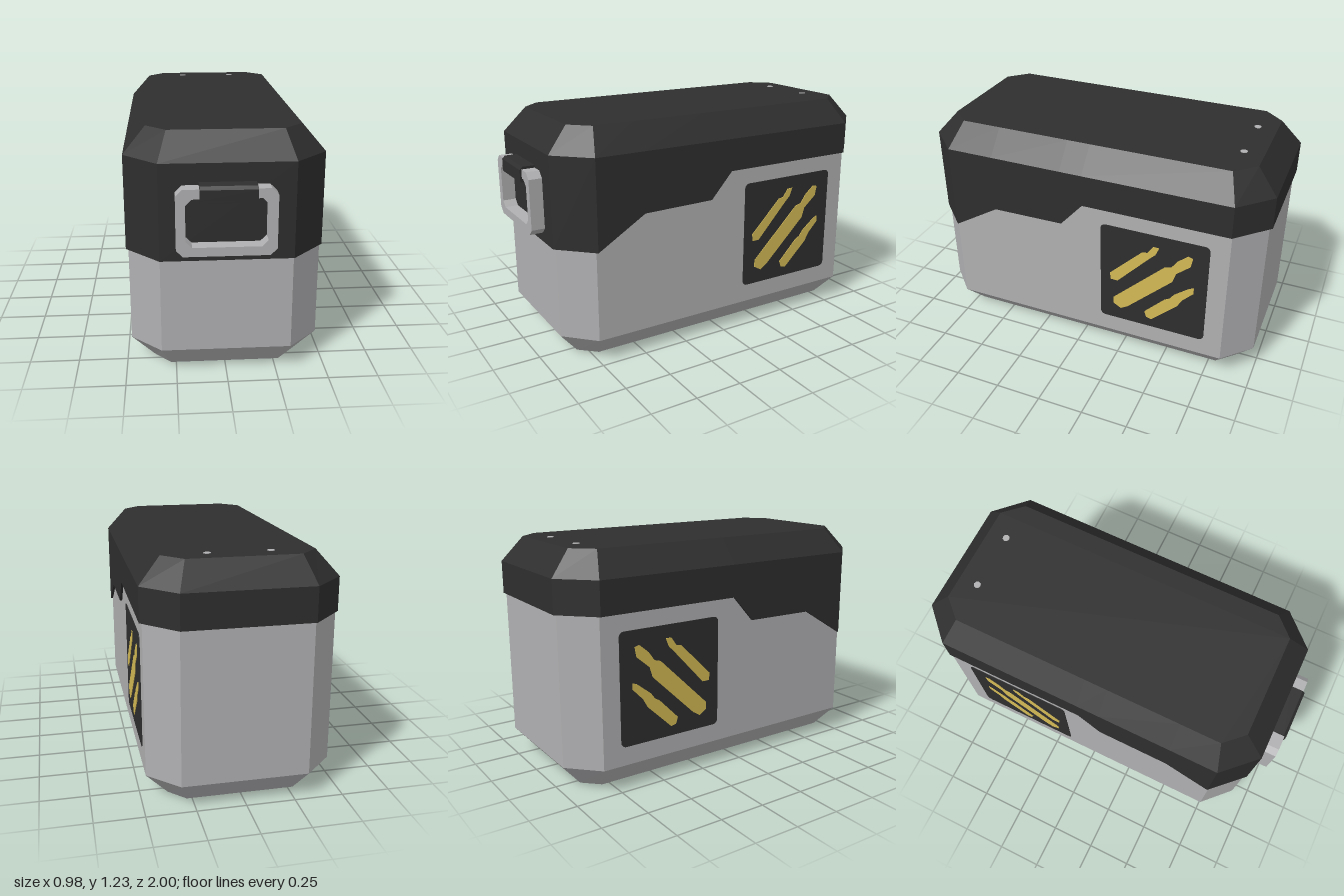
import * as THREE from 'three';

const mat = (name, color, side = THREE.FrontSide) => {
  const m = new THREE.MeshStandardMaterial({ color, side });
  m.name = name;
  return m;
};

// Chamfered eight-sided ring, mirrored in x. y is one height or one per half point.
function ring(w, cw, zFront, cFront, cBack, zBack, y, steps = []) {
  const half = [[cw, zFront], [w, cFront], ...steps.map(z => [w, z]), [w, cBack], [cw, zBack]]
    .map(([x, z], i) => [x, Array.isArray(y) ? y[i] : y, z]);
  return [...half, ...half.slice().reverse().map(([x, yy, z]) => [-x, yy, z])];
}

// Flat-faced skin through rings listed from bottom to top
function loft(rings, capBottom, capTop) {
  const pos = [];
  const tri = (a, b, c) => pos.push(...a, ...b, ...c);
  const n = rings[0].length;
  for (let r = 0; r < rings.length - 1; r++) {
    for (let i = 0; i < n; i++) {
      const j = (i + 1) % n, lo = rings[r], hi = rings[r + 1];
      tri(lo[i], lo[j], hi[j]);
      tri(lo[i], hi[j], hi[i]);
    }
  }
  const first = rings[0], last = rings[rings.length - 1];
  for (let i = 1; i < n - 1; i++) {
    if (capBottom) tri(first[0], first[i + 1], first[i]);
    if (capTop) tri(last[0], last[i], last[i + 1]);
  }
  const g = new THREE.BufferGeometry();
  g.setAttribute('position', new THREE.Float32BufferAttribute(pos, 3));
  g.computeVertexNormals();
  return g;
}

// Rectangle with cut corners
function cutRect(x0, x1, y0, y1, c) {
  return [[x0 + c, y0], [x1 - c, y0], [x1, y0 + c], [x1, y1 - c],
    [x1 - c, y1], [x0 + c, y1], [x0, y1 - c], [x0, y0 + c]].map(p => new THREE.Vector2(...p));
}

function roundRect(x0, x1, y0, y1, r) {
  const s = new THREE.Shape();
  s.absarc(x1 - r, y0 + r, r, -Math.PI / 2, 0);
  s.absarc(x1 - r, y1 - r, r, 0, Math.PI / 2);
  s.absarc(x0 + r, y1 - r, r, Math.PI / 2, Math.PI);
  s.absarc(x0 + r, y0 + r, r, Math.PI, Math.PI * 1.5);
  s.closePath();
  return s;
}

const extrude = (shape, depth) =>
  new THREE.ExtrudeGeometry(shape, { depth, bevelEnabled: false, curveSegments: 4 });

// Tapered stripes: distance towards the back, height
const stripes = [
  [[.195, .53], [.2, .49], [.24, .49], [.42, .685], [.45, .715], [.468, .76], [.435, .76], [.405, .715], [.375, .71]],
  [[.217, .37], [.217, .33], [.26, .305], [.3, .33], [.548, .57], [.565, .625], [.64, .69], [.65, .743],
    [.623, .75], [.57, .705], [.537, .658], [.5, .647]],
  [[.398, .325], [.41, .29], [.44, .283], [.58, .417], [.607, .465], [.665, .525], [.665, .56], [.64, .55],
    [.56, .487], [.537, .455], [.51, .44]],
];

export function createModel() {
  const model = new THREE.Group();
  model.name = 'caseBox';
  const grey = mat('light grey', 0xb0b0b2);
  const dark = mat('charcoal', 0x2e2e2e);
  const yellow = mat('mustard yellow', 0xd4ba55);
  const add = (name, geometry, material, parent = model) => {
    const m = new THREE.Mesh(geometry, material);
    m.name = name;
    parent.add(m);
    return m;
  };

  // Lower body with chamfered foot
  add('body', loft([
    ring(.36, .277, .8, .71, -.79, -.875, 0),
    ring(.475, .322, .905, .755, -.835, -.985, .13),
    ring(.475, .322, .905, .755, -.835, -.985, 1),
  ], true, true), grey);

  // Lid with stepped lower edge and a lip turned in to the body
  const steps = [.485, .085, -.04];
  const edge = [.615, .615, .775, .78, .92, .92, .92];
  add('lid', loft([
    ring(.47, .32, .9, .75, -.835, -.98, edge, steps),
    ring(.488, .323, .92, .75, -.835, -1, edge, steps),
    ring(.488, .323, .92, .75, -.835, -1, 1.095, steps),
    ring(.377, .28, .805, .705, -.785, -.89, 1.225, steps),
  ], false, true), dark);

  // Two small studs on the lid
  for (const x of [-.155, .155]) {
    const stud = add('lidStud', new THREE.CylinderGeometry(.019, .019, .006, 8), grey);
    stud.position.set(x, 1.225, -.785);
  }

  // Front handle loop
  const loop = new THREE.Shape(cutRect(-.245, .228, .665, .992, .032));
  loop.holes.push(new THREE.Path(cutRect(-.2, .185, .71, .945, .03)));
  add('handleLoop', extrude(loop, .07), grey).position.z = .921;

  // Clip holding the handle, a cut-corner bar running along x
  const clip = extrude(new THREE.Shape([[-1, .925], [-.915, .925], [-.915, 1.005], [-.985, 1.005],
    [-1, .99], [-1, .94]].map(p => new THREE.Vector2(...p))), .268);
  clip.rotateY(Math.PI / 2).translate(-.135, 0, 0);
  add('handleClip', clip, dark);

  // Striped side panels, mirrored
  for (const side of [1, -1]) {
    const panel = new THREE.Group();
    panel.name = side > 0 ? 'leftPanel' : 'rightPanel';
    model.add(panel);
    const plate = (name, points, x, material) => {
      const pts = side > 0 ? points : points.map(p => new THREE.Vector2(-p.x, p.y));
      const g = extrude(new THREE.Shape(pts), .005);
      g.rotateY(side * Math.PI / 2).translate(side * x, 0, 0);
      add(name, g, material, panel);
    };
    plate('panelPlate', roundRect(.14, .735, .23, .83, .028).getPoints(4), .473, dark);
    for (const s of stripes) plate('stripe', s.map(p => new THREE.Vector2(...p)), .476, yellow);
  }
  return model;
}
